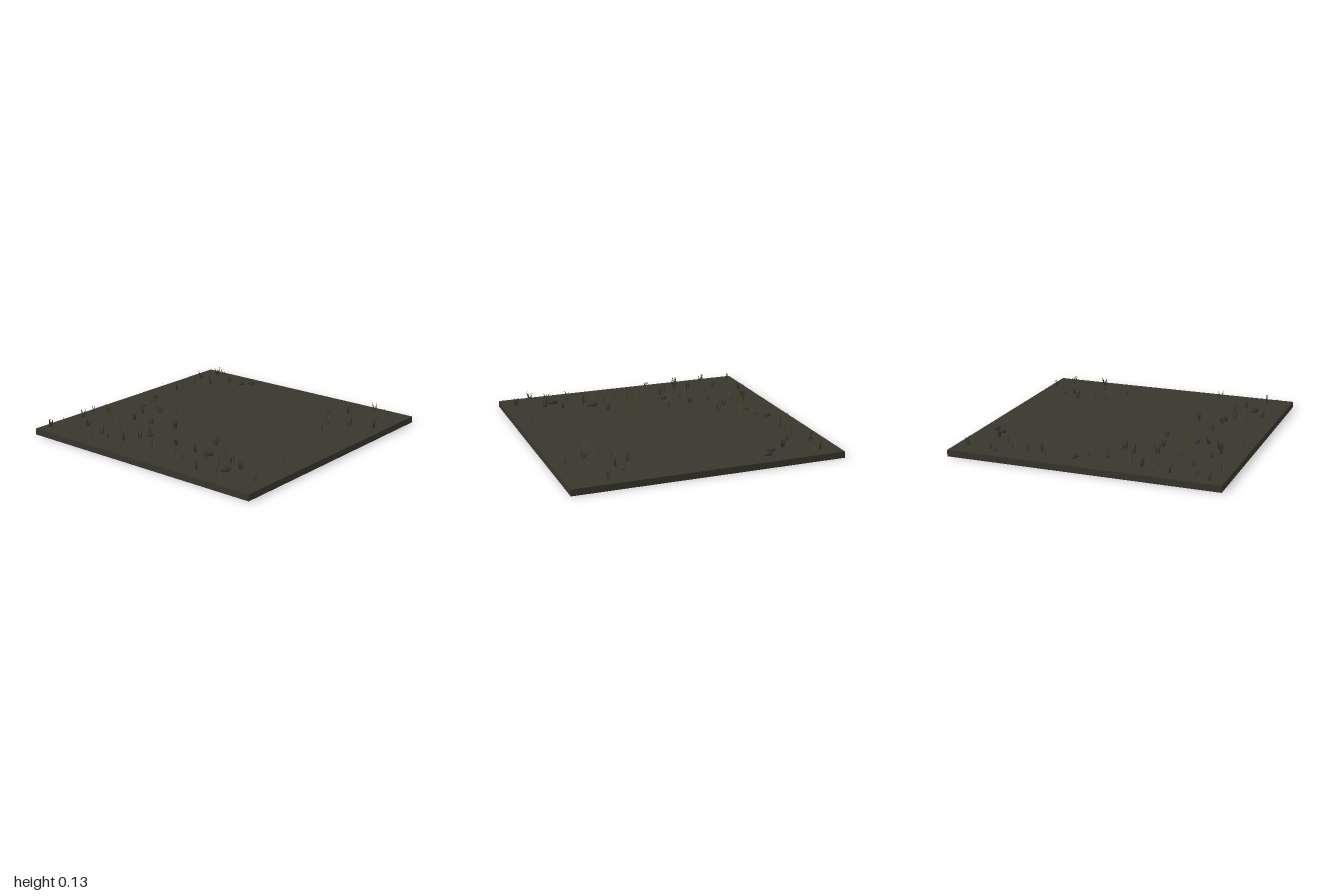
import * as THREE from 'three';

const mat = (name, color, side = THREE.FrontSide) => {
  const m = new THREE.MeshStandardMaterial({ color, side });
  m.name = name;
  return m;
};

// Small seeded generator
function seeded(seed) {
  return () => (seed = (seed * 16807) % 2147483647) / 2147483647;
}

// Gentle swell of the ground, flat at the rim
const groundY = (x, z) => {
  const rim = Math.min(1, (1 - Math.max(Math.abs(x), Math.abs(z))) * 8);
  return 0.047 + rim * (0.004 + 0.002 * Math.sin(x * 5 + 1) * Math.cos(z * 4));
};

// Tuft positions as x, z pairs
const TUFTS = [
  -0.85, -0.91, -0.8, -0.92, -0.87, -0.72, -0.8, -0.57, -0.72, -0.67, -0.82, -0.45, -0.81, -0.35,
  -0.9, -0.28, -0.62, -0.78, -0.69, 0.09, -0.54, 0.16, -0.39, 0.14, -0.62, 0.25,
  -0.81, 0.3, -0.85, 0.4, -0.9, 0.5, -0.91, 0.61, -0.91, 0.81, -0.94, 0.9, -0.76, 0.47,
  -0.73, 0.72, -0.7, 0.92, -0.56, 0.41, -0.58, 0.58, -0.53, 0.78, -0.46, 0.65, -0.43, 0.82,
  -0.47, 0.93, -0.4, 0.4, -0.36, 0.55, -0.31, 0.78, -0.28, 0.54, -0.25, 0.68, -0.21, 0.9,
  -0.2, 0.35, -0.05, 0.75, 0.05, 0.62, 0.13, 0.71, 0.25, 0.64, 0.28, 0.82,
  0.38, 0.7, 0.43, 0.55, 0.47, 0.88, 0.52, 0.73, 0.57, 0.64, 0.64, 0.88, 0.7, 0.7, 0.77, 0.92,
  0.9, 0.81, 0.87, 0.44, 0.48, -0.64, 0.55, -0.52, 0.6, -0.72, 0.62, -0.42, 0.72, -0.92,
  0.78, -0.67, 0.76, -0.5, 0.85, -0.82, 0.92, -0.58, 0.68, -0.28, 0.27, 0.45,
];

// Stones as x, z, radius
const STONES = [
  [-0.46, -0.88, 0.031], [-0.52, -0.81, 0.031], [0.58, -0.8, 0.017], [-0.9, -0.68, 0.018],
  [-0.83, -0.1, 0.031], [-0.76, -0.03, 0.015], [-0.75, 0.11, 0.021], [-0.24, 0.59, 0.029],
  [0.34, 0.62, 0.041], [0.62, 0.78, 0.043],
];

// Upright tapering blades, each leaning within its own plane
function tuftGeometry(rand) {
  const points = [];
  const blades = 5 + Math.floor(rand() * 3);
  for (let i = 0; i < blades; i++) {
    const a = rand() * Math.PI * 2;
    const c = Math.cos(a), s = Math.sin(a);
    const h = 0.038 + rand() * 0.038;
    const lean = 0.004 + rand() * 0.018;
    const off = rand() * 0.012, w = 0.0045;
    const at = (d, y) => [c * (off + d), y, s * (off + d)];
    const bl = at(-w, -0.004), br = at(w, -0.004);
    const ml = at(lean * 0.3 - w * 0.8, h * 0.55), mr = at(lean * 0.3 + w * 0.8, h * 0.55);
    const tip = at(lean, h);
    points.push(...bl, ...br, ...mr, ...bl, ...mr, ...ml, ...ml, ...mr, ...tip);
  }
  const g = new THREE.BufferGeometry();
  g.setAttribute('position', new THREE.Float32BufferAttribute(points, 3));
  g.computeVertexNormals();
  return g;
}

export function createModel() {
  const model = new THREE.Group();
  model.name = 'groundTile';
  const soil = mat('soil', 0x38362c);
  const stone = mat('stone', 0x33342f);
  const grasses = [
    mat('darkGrass', 0x35381f, THREE.DoubleSide),
    mat('dryGrass', 0x4a4a2c, THREE.DoubleSide),
  ];

  // Ground slab with a softly uneven top
  const slab = new THREE.BoxGeometry(2, 0.047, 2, 32, 1, 32).translate(0, 0.0235, 0);
  const p = slab.attributes.position;
  for (let i = 0; i < p.count; i++) {
    if (p.getY(i) > 0.04) p.setY(i, groundY(p.getX(i), p.getZ(i)));
  }
  slab.computeVertexNormals();
  const ground = new THREE.Mesh(slab, soil);
  ground.name = 'ground';
  model.add(ground);

  // Flattened stones half sunk into the soil
  const pebble = new THREE.SphereGeometry(1, 14, 10);
  const stones = new THREE.Group();
  stones.name = 'stones';
  for (const [x, z, r] of STONES) {
    const m = new THREE.Mesh(pebble, stone);
    m.name = 'stone';
    m.scale.set(r, r * 0.55, r * 0.78);
    m.position.set(x, groundY(x, z) + r * 0.18, z);
    stones.add(m);
  }
  model.add(stones);

  // Grass tufts
  const rand = seeded(4711);
  const grass = new THREE.Group();
  grass.name = 'grass';
  for (let i = 0; i < TUFTS.length; i += 2) {
    const [x, z] = [TUFTS[i], TUFTS[i + 1]];
    const m = new THREE.Mesh(tuftGeometry(rand), grasses[(i / 2) % 2]);
    m.name = 'grassTuft';
    m.position.set(x, groundY(x, z), z);
    grass.add(m);
  }
  model.add(grass);
  return model;
}
